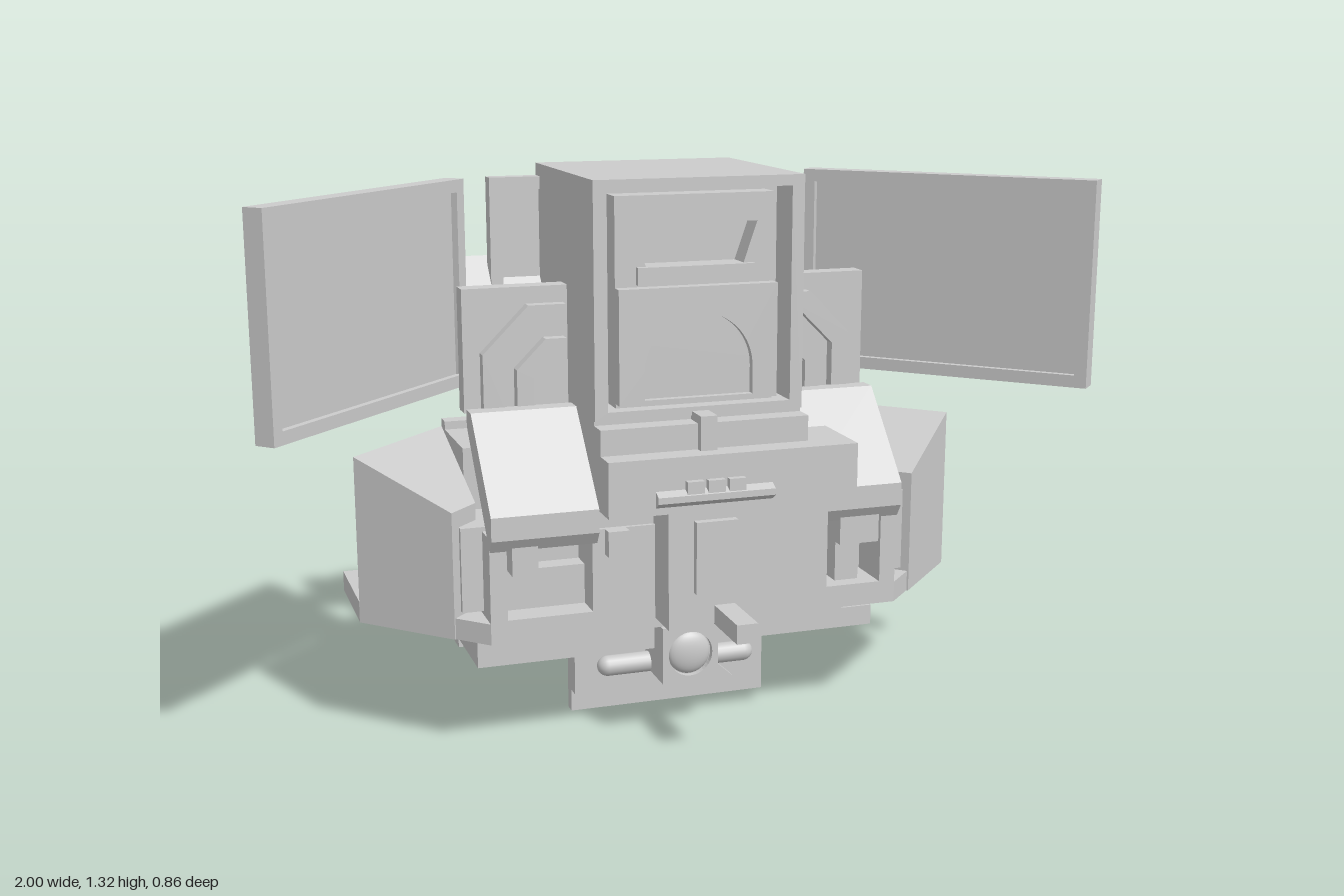
import * as THREE from 'three';

const material = new THREE.MeshStandardMaterial({ color: 0xcccccc });

export function createModel() {
  const model = new THREE.Group();

  function add(name, geometry, parent = model) {
    const mesh = new THREE.Mesh(geometry, material);
    mesh.name = name;
    parent.add(mesh);
    return mesh;
  }
  // Box given by its limits on each axis
  function box(name, x0, x1, y0, y1, z0, z1, parent) {
    const g = new THREE.BoxGeometry(x1 - x0, y1 - y0, z1 - z0);
    g.translate((x0 + x1) / 2, (y0 + y1) / 2, (z0 + z1) / 2);
    return add(name, g, parent);
  }
  const pairBox = (name, x0, x1, ...rest) => {
    box(name, x0, x1, ...rest);
    box(name, -x1, -x0, ...rest);
  };
  const polygon = (pts) => new THREE.Shape(pts.map((p) => new THREE.Vector2(...p)));
  const rect = (x0, x1, y0, y1) => polygon([[x0, y0], [x1, y0], [x1, y1], [x0, y1]]);
  const extrude = (shape, depth) =>
    new THREE.ExtrudeGeometry(shape, { depth, bevelEnabled: false, curveSegments: 20 });
  // Extrusions of a front outline, a (z, y) side outline and an (x, z) plan
  const frontShape = (shape, z0, z1) => extrude(shape, z1 - z0).translate(0, 0, z0);
  const sideShape = (pts, x0, x1) =>
    extrude(polygon(pts), x1 - x0).rotateY(-Math.PI / 2).translate(x1, 0, 0);
  const planShape = (pts, y0, y1) =>
    extrude(polygon(pts), y1 - y0).rotateX(Math.PI / 2).translate(0, y1, 0);
  const mirrorX = (pts) => pts.map(([a, b]) => [-a, b]);

  // Panel with a raised rim facing +z
  function framedPanel(name, w, h, d) {
    const group = new THREE.Group();
    group.name = name;
    const x = w / 2, y = h / 2, r = 0.03;
    box('panel', -x, x, -y, y, -d / 2, d / 6, group);
    const rim = rect(-x, x, -y, y);
    rim.holes.push(rect(-x + r, x - r, -y + r, y - r));
    add('rim', frontShape(rim, d / 6, d / 2), group);
    model.add(group);
    return group;
  }

  // Angled side panels and the rear panel
  for (const s of [-1, 1]) {
    const door = framedPanel('sidePanel', 0.745, 0.5, 0.05);
    door.position.set(s * 0.719, 1.04, -0.038);
    door.rotation.y = -s * Math.PI / 4;
  }
  framedPanel('rearPanel', 0.75, 0.5, 0.04).position.set(0, 1.04, -0.308);

  // Rear wall with notches below the panel
  const half = [[0.5, 0.28], [0.5, 0.7], [0.28, 0.7], [0.28, 0.79], [0.375, 0.79], [0.375, 0.9]];
  add('rearWall', frontShape(polygon([...half, ...mirrorX(half).reverse()]), -0.33, -0.288));

  // Slanted rail with brackets across the rear
  add('rearRail', sideShape([[-0.278, 1.02], [-0.345, 1.097], [-0.36, 1.08], [-0.29, 1.005]], -0.5, 0.5));
  for (let i = -2; i <= 2; i++) {
    const x = i * 0.2;
    add('railBracket', sideShape([[-0.275, 1.02], [-0.36, 1.085], [-0.36, 1.035], [-0.278, 0.992]], x - 0.02, x + 0.02));
  }

  // Floor slab
  const floor = [[0.757, -0.33], [0.757, -0.08], [0.5, 0.18]];
  add('floor', planShape([...floor, ...mirrorX(floor).reverse()], 0.28, 0.33));

  // Diagonal wings whose tops slope down to the front
  const wing = [[0.5, -0.33], [0.757, -0.075], [0.57, 0.115], [0.5, 0.045]];
  for (const s of [-1, 1]) {
    const g = planShape(s > 0 ? wing : mirrorX(wing), 0.28, 0.68);
    const p = g.attributes.position;
    for (let i = 0; i < p.count; i++) {
      const t = (p.getZ(i) - Math.abs(p.getX(i)) + 0.83) / 0.375;
      if (p.getY(i) > 0.5) p.setY(i, 0.68 - 0.1 * t);
    }
    g.computeVertexNormals();
    add('wing', g);
  }
  pairBox('wingFrame', 0.49, 0.55, 0.34, 0.54, 0.0, 0.11);

  // Lower body, windowed front wall and its fittings
  box('lowerBody', -0.5, 0.5, 0.3, 0.53, -0.3, 0.06);
  const wall = rect(-0.5, 0.5, 0.28, 0.53);
  wall.holes.push(rect(-0.46, -0.26, 0.335, 0.5), rect(0.32, 0.46, 0.335, 0.5));
  add('frontWall', frontShape(wall, 0.06, 0.18));
  box('windowSill', -0.46, -0.26, 0.335, 0.43, 0.06, 0.11);
  box('windowPost', 0.36, 0.42, 0.335, 0.5, 0.06, 0.14);
  box('windowLintel', 0.35, 0.45, 0.44, 0.51, 0.06, 0.19);
  box('windowLintel', -0.45, -0.39, 0.44, 0.51, 0.06, 0.19);
  box('wallLatch', -0.23, -0.18, 0.47, 0.53, 0.17, 0.21);
  box('rearBody', -0.5, 0.5, 0.5, 0.68, -0.3, -0.08);
  box('neck', -0.25, 0.25, 0.5, 0.8, -0.3, 0.17);

  // Sloping deck plates
  const slope = [[0.205, 0.53], [0.205, 0.585], [0.02, 0.785], [-0.025, 0.785], [-0.025, 0.745], [0.185, 0.5]];
  add('deckPlate', sideShape(slope, 0.25, 0.5));
  add('deckPlate', sideShape(slope, -0.5, -0.25));

  // Shoulder walls with bent ribs
  pairBox('shoulderWall', 0.25, 0.5, 0.77, 1.06, -0.1, -0.05);
  pairBox('shoulderBack', 0.36, 0.46, 0.68, 1.0, -0.16, -0.09);
  const rib = [[0.46, 0.78], [0.46, 0.91], [0.35, 1.02], [0.26, 1.02], [0.26, 0.97], [0.33, 0.97], [0.41, 0.89], [0.41, 0.78]];
  const innerRib = [[0.38, 0.78], [0.38, 0.87], [0.31, 0.94], [0.26, 0.94], [0.26, 0.9], [0.29, 0.9], [0.34, 0.85], [0.34, 0.78]];
  for (const pts of [rib, innerRib, mirrorX(rib), mirrorX(innerRib)]) {
    add('shoulderRib', frontShape(polygon(pts), -0.06, -0.02));
  }

  // Tower shell with a recessed front
  box('towerBody', -0.25, 0.25, 0.78, 1.32, -0.327, 0.04);
  const shell = rect(-0.25, 0.25, 0.78, 1.32);
  shell.holes.push(rect(-0.22, 0.22, 0.8, 1.295));
  add('towerRim', frontShape(shell, 0.04, 0.178));
  const face = rect(-0.19, 0.19, 0.8, 1.28);
  face.holes.push(polygon([[-0.11, 1.1], [0.11, 1.1], [0.15, 1.215], [-0.15, 1.215]]));
  add('towerFace', frontShape(face, 0.04, 0.14));
  box('towerFaceBacking', -0.22, 0.22, 0.8, 1.295, 0.03, 0.09).scale.z = 0.9;
  box('slotLedge', -0.14, 0.14, 1.08, 1.12, 0.08, 0.155);
  // Arched hatch
  const hatch = rect(-0.19, 0.19, 0.81, 1.075);
  const arch = new THREE.Shape();
  arch.moveTo(-0.13, 0.82);
  arch.lineTo(0.13, 0.82);
  arch.lineTo(0.13, 0.885);
  arch.absarc(0, 0.885, 0.13, 0, Math.PI, false);
  hatch.holes.push(arch);
  add('hatchSurround', frontShape(hatch, 0.1, 0.17));
  add('hatchDoor', frontShape(arch, 0.1, 0.152));

  // Shelf and upper deck
  box('shelf', -0.25, 0.25, 0.71, 0.77, 0.1, 0.22);
  box('shelfSupport', -0.02, 0.02, 0.7, 0.79, 0.1, 0.24);
  box('upperDeck', -0.25, 0.35, 0.58, 0.71, 0.04, 0.28);
  box('deckSide', 0.11, 0.3, 0.3, 0.58, 0.04, 0.23);

  // Front column with panel, hood and barrel
  box('column', -0.11, 0.11, 0.305, 0.6, 0.04, 0.28);
  box('columnPanel', -0.05, 0.05, 0.39, 0.56, 0.27, 0.3);
  add('hood', sideShape([[0.27, 0.64], [0.3, 0.625], [0.3, 0.61], [0.27, 0.59]], -0.14, 0.14));
  for (const x of [-0.05, 0, 0.05]) box('hoodLight', x - 0.02, x + 0.02, 0.625, 0.655, 0.27, 0.297);
  box('barrel', 0, 0.05, 0.31, 0.355, 0.27, 0.43);

  // Underside frame and end tabs
  box('underBar', -0.46, 0.5, 0.18, 0.23, -0.2, -0.13);
  box('underBar', 0.1, 0.5, 0.18, 0.23, -0.13, 0.05);
  box('underBlock', -0.46, 0.42, 0.18, 0.29, -0.02, 0.05);
  pairBox('endTab', 0.455, 0.505, 0.157, 0.29, -0.225, -0.17);
  box('sideSkid', -0.505, -0.455, 0.18, 0.29, -0.2, 0.05);
  const keel = polygon([[-0.25, 0], [0.25, 0], [0.25, 0.18], [-0.25, 0.18]]);
  add('keelPlate', frontShape(keel, -0.09, -0.06));
  add('keelBrace', frontShape(polygon([[-0.25, 0.055], [0.16, 0.055], [0.1, 0.11], [0.1, 0.2], [-0.25, 0.2]]), -0.07, -0.025));

  // Lamp housing, lens and cross tube
  box('lampHousing', -0.07, 0.07, 0.11, 0.25, -0.15, 0.1);
  box('lampMount', -0.05, 0.05, 0.24, 0.3, -0.05, 0.07);
  const ring = rect(-0.07, 0.07, 0.11, 0.25);
  ring.holes.push(new THREE.Path().absarc(0, 0.18, 0.055, 0, Math.PI * 2, true));
  add('lampRing', frontShape(ring, 0.1, 0.115));
  add('lampLens', new THREE.SphereGeometry(0.053, 24, 16).scale(1, 1, 0.4).translate(0, 0.18, 0.1));
  add('crossTube', new THREE.CapsuleGeometry(0.025, 0.35, 8, 16).rotateZ(Math.PI / 2).translate(0, 0.13, 0));

  // Rear nozzle with a flared end plate
  box('nozzleBody', 0.23, 0.47, 0.18, 0.43, -0.38, -0.1);
  const flare = new THREE.BoxGeometry(0.3, 0.3, 0.03);
  const fp = flare.attributes.position;
  for (let i = 0; i < fp.count; i++) {
    if (fp.getZ(i) > 0) fp.setXY(i, fp.getX(i) * 0.8, fp.getY(i) * 0.83);
  }
  flare.computeVertexNormals();
  add('nozzleFlare', flare.translate(0.35, 0.303, -0.395));
  box('nozzlePlate', 0.2, 0.5, 0.153, 0.453, -0.43, -0.41);

  return model;
}
